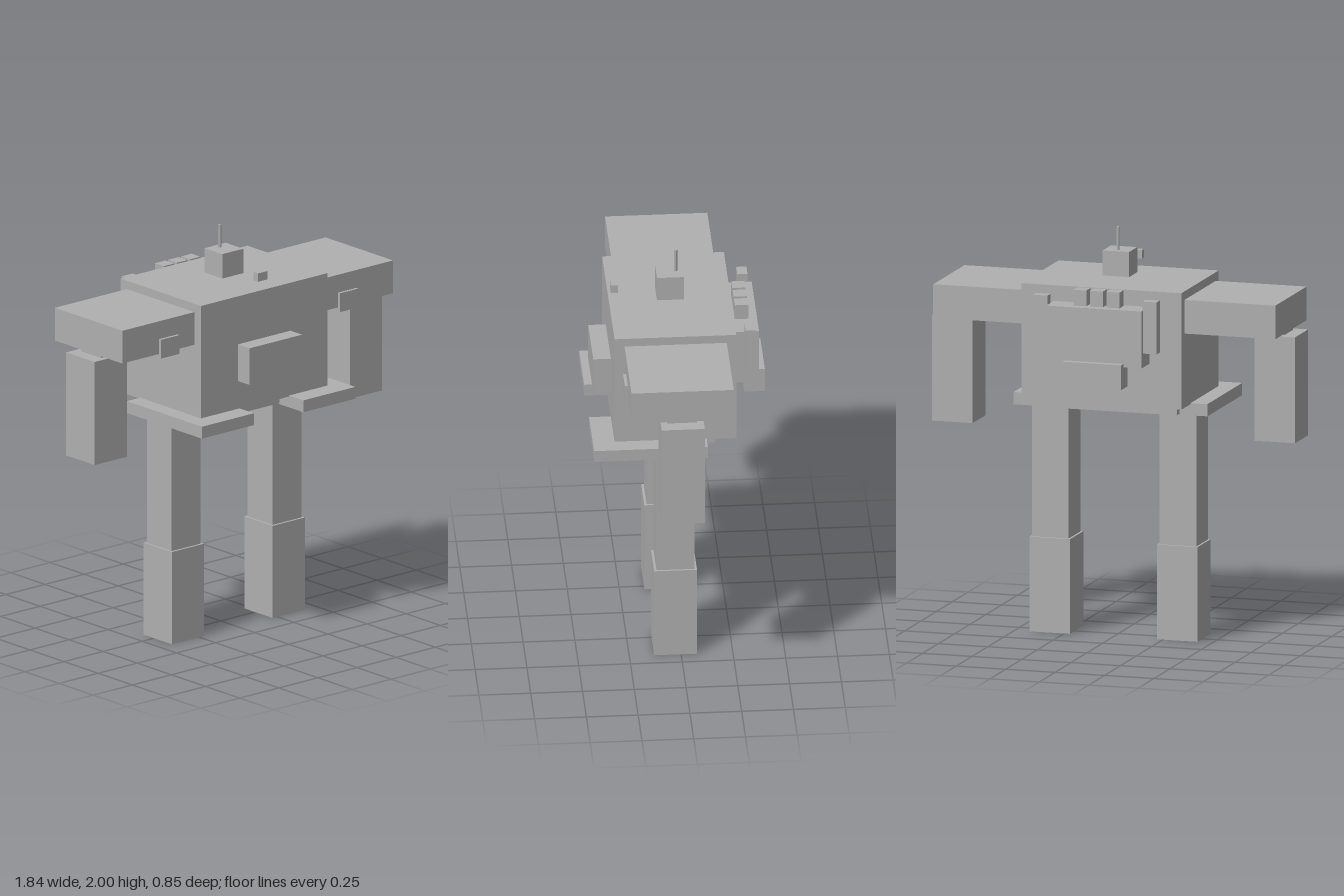
import * as THREE from 'three';

export function createModel() {
  const model = new THREE.Group();
  model.name = 'robot';
  const grey = new THREE.MeshStandardMaterial({ color: 0xb0b0b0 });
  grey.name = 'grey';

  // Box given by its extents along each axis
  function block(name, [x0, x1], [y0, y1], [z0, z1], parent = model) {
    const mesh = new THREE.Mesh(new THREE.BoxGeometry(x1 - x0, y1 - y0, z1 - z0), grey);
    mesh.position.set((x0 + x1) / 2, (y0 + y1) / 2, (z0 + z1) / 2);
    mesh.name = name;
    parent.add(mesh);
  }

  // Same box on both sides of the body
  function pair(name, [x0, x1], y, z, parent = model) {
    block(name + 'Left', [x0, x1], y, z, parent);
    block(name + 'Right', [-x1, -x0], y, z, parent);
  }

  // Body
  block('torso', [-0.405, 0.405], [1.175, 1.747], [-0.268, 0.32]);
  block('chestPlate', [-0.168, 0.168], [1.32, 1.505], [0.31, 0.405]);
  block('waist', [-0.35, 0.35], [1.125, 1.176], [-0.17, 0.25]);
  pair('hipSkirt', [0.158, 0.49], [1.12, 1.18], [-0.125, 0.425]);

  // Head
  block('head', [-0.067, 0.067], [1.762, 1.885], [-0.04, 0.09]);
  block('visor', [-0.031, 0.031], [1.79, 1.832], [0.275, 0.31]);
  const antenna = new THREE.Mesh(new THREE.CylinderGeometry(0.008, 0.008, 0.12, 8), grey);
  antenna.name = 'antenna';
  antenna.position.set(0, 1.94, -0.005);
  model.add(antenna);

  // Arms
  const arms = new THREE.Group();
  arms.name = 'arms';
  model.add(arms);
  pair('shoulder', [0.4, 0.865], [1.54, 1.705], [-0.222, 0.272], arms);
  pair('shoulderBadge', [0.512, 0.63], [1.52, 1.615], [0.125, 0.287], arms);
  pair('upperArm', [0.712, 0.852], [1.3, 1.6], [-0.045, 0.1], arms);
  pair('forearm', [0.712, 0.918], [1.005, 1.525], [-0.078, 0.13], arms);

  // Legs
  const legs = new THREE.Group();
  legs.name = 'legs';
  model.add(legs);
  pair('thigh', [0.23, 0.415], [0.44, 1.13], [-0.065, 0.118], legs);
  pair('shin', [0.219, 0.425], [0, 0.465], [-0.077, 0.13], legs);

  // Backpack
  const pack = new THREE.Group();
  pack.name = 'backpack';
  model.add(pack);
  block('packBody', [-0.242, 0.242], [1.39, 1.67], [-0.39, -0.26], pack);
  block('lowerPack', [-0.15, 0.15], [1.285, 1.407], [-0.425, -0.325], pack);
  pair('sideThruster', [0.24, 0.312], [1.46, 1.715], [-0.37, -0.32], pack);
  for (const x of [-0.084, 0, 0.084]) {
    block('vent', [x - 0.033, x + 0.033], [1.66, 1.747], [-0.347, -0.282], pack);
  }

  return model;
}
